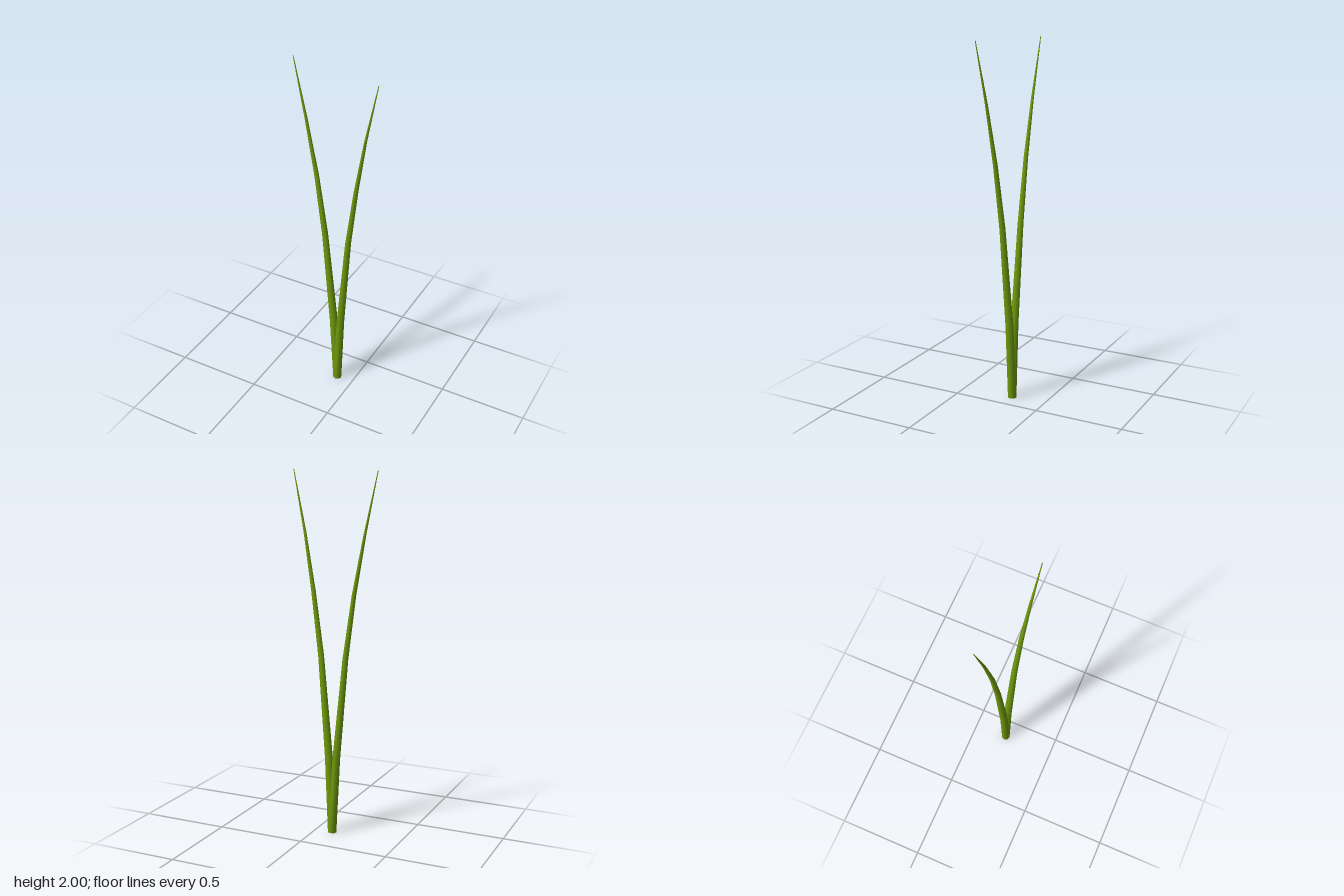
import * as THREE from 'three';
import { mergeVertices } from 'three/addons/utils/BufferGeometryUtils.js';

const SIDES = 8;
const material = new THREE.MeshStandardMaterial({ color: 0x6f9a0c, side: THREE.DoubleSide });

// Tapering blade: a cylinder whose rings follow stations of [x, y, z, radius]
function bladeGeometry(stations) {
  const n = stations.length - 1;
  const geometry = new THREE.CylinderGeometry(1, 1, n, SIDES, n, true);
  const p = geometry.attributes.position;
  for (let i = 0; i < p.count; i++) {
    const [x, y, z, r] = stations[Math.round(p.getY(i) + n / 2)];
    p.setXYZ(i, x + p.getX(i) * r, y, z + p.getZ(i) * r);
  }
  geometry.deleteAttribute('uv');
  geometry.deleteAttribute('normal');
  const smooth = mergeVertices(geometry, 1e-5);
  smooth.computeVertexNormals();
  return smooth;
}

export function createModel() {
  const group = new THREE.Group();
  group.name = 'grassSprout';

  const blades = {
    rightBlade: [
      [-0.1, 0, -0.302, 0.025], [-0.125, 0.43, -0.303, 0.023], [-0.182, 1, -0.31, 0.017],
      [-0.233, 1.35, -0.315, 0.013], [-0.296, 1.67, -0.322, 0.008], [-0.372, 2, -0.333, 0.002],
    ],
    leftBlade: [
      [-0.099, 0, -0.302, 0.025], [-0.077, 0.43, -0.296, 0.023], [-0.024, 1, -0.281, 0.017],
      [0.027, 1.35, -0.267, 0.013], [0.086, 1.67, -0.249, 0.008], [0.161, 2, -0.228, 0.002],
    ],
  };

  for (const [name, stations] of Object.entries(blades)) {
    const blade = new THREE.Mesh(bladeGeometry(stations), material);
    blade.name = name;
    group.add(blade);
  }

  // Flat cut end under the shared stem
  const base = new THREE.Mesh(new THREE.CircleGeometry(0.025, SIDES), material);
  base.name = 'stemBase';
  base.rotation.x = Math.PI / 2;
  base.position.set(-0.1, 0, -0.302);
  group.add(base);

  return group;
}
